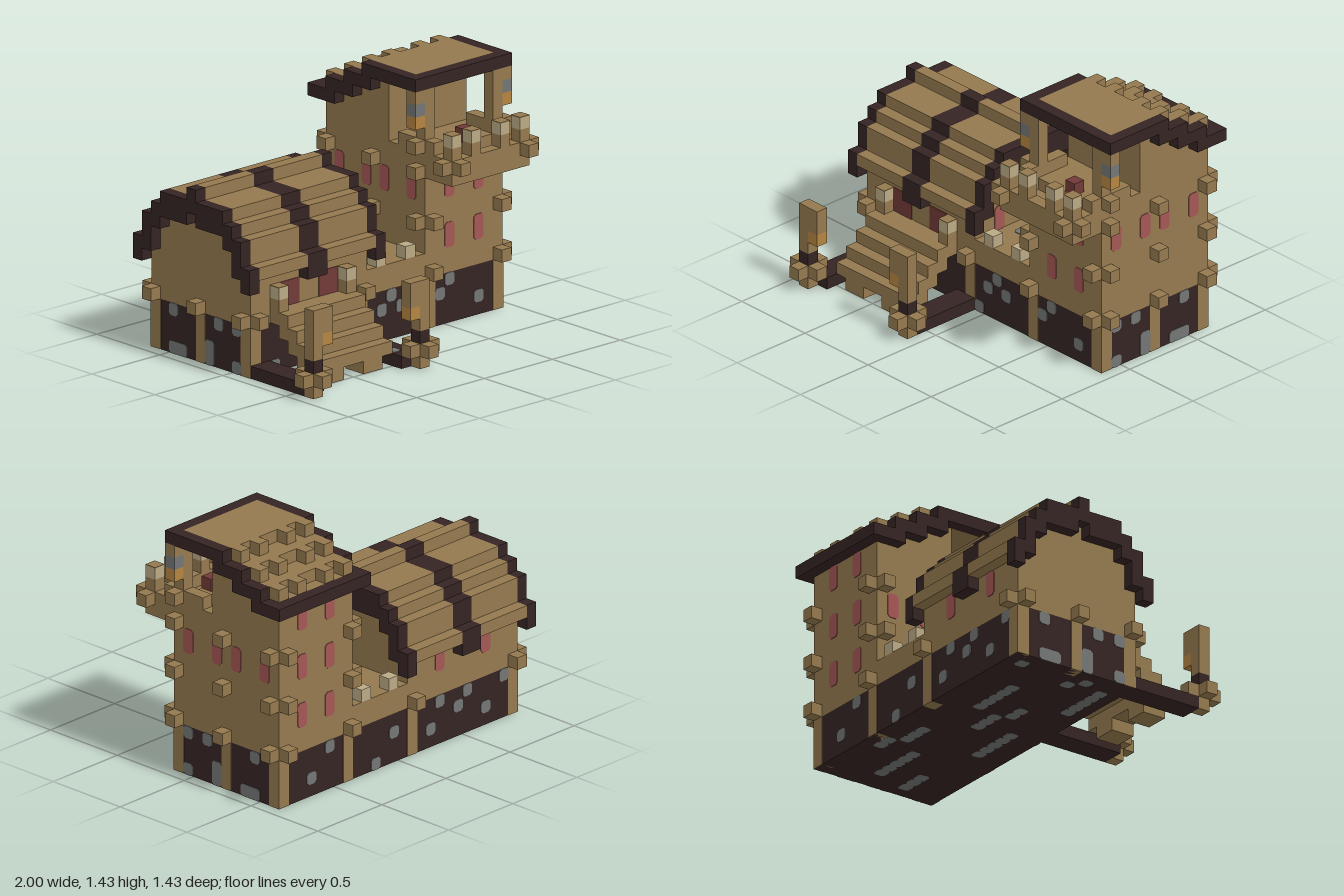
import * as THREE from 'three';

const U = 1 / 14; // one block
const mat = (name, color) => new THREE.MeshStandardMaterial({ name, color });

export function createModel() {
  const model = new THREE.Group();
  const tan = mat('timber tan', 0x94794e), dark = mat('dark wood', 0x362424);
  const light = mat('pale wood', 0xbaa984), grey = mat('stone grey', 0x747675);
  const pink = mat('window pink', 0xa45654), red = mat('deep red', 0x713a38);
  const orange = mat('lantern orange', 0xb48440);

  // Box given by its limits in blocks
  const box = (name, m, x0, x1, y0, y1, z0, z1) => {
    const g = new THREE.BoxGeometry((x1 - x0) * U, (y1 - y0) * U, (z1 - z0) * U);
    const mesh = new THREE.Mesh(g, m);
    mesh.position.set((x0 + x1) / 2 * U, (y0 + y1) / 2 * U, (z0 + z1) / 2 * U);
    mesh.name = name;
    model.add(mesh);
  };

  // Thin plate with cut corners; face is the outward axis, (a, b) its lower corner and d the wall plane
  const plate = (name, m, face, d, a, b, w = 1, h = 1) => {
    const c = 0.2, s = new THREE.Shape([
      [c, 0], [w - c, 0], [w, c], [w, h - c], [w - c, h], [c, h], [0, h - c], [0, c],
    ].map(([x, y]) => new THREE.Vector2((x - w / 2) * U, (y - h / 2) * U)));
    const g = new THREE.ExtrudeGeometry(s, { depth: 0.004, bevelEnabled: false });
    const mesh = new THREE.Mesh(g, m), p = a + w / 2, q = b + h / 2;
    const [rx, ry, x, y, z] = {
      front: [0, 0, p, q, d], back: [0, Math.PI, p, q, d],
      left: [0, Math.PI / 2, d, q, p], right: [0, -Math.PI / 2, d, q, p],
      up: [-Math.PI / 2, 0, p, d, q], down: [Math.PI / 2, 0, p, d, q],
    }[face];
    mesh.rotation.set(rx, ry, 0);
    mesh.position.set(x * U, y * U, z * U);
    mesh.name = name;
    model.add(mesh);
  };

  // Stone base, lower walls and timber posts
  box('stoneBase', dark, -13, 13, 0, 4, -9, 2);
  box('lowerWalls', tan, -13, 13, 4, 6, -9, 2);
  const e = 0.04;
  for (const x of [-13, -2, 5, 12]) for (const z of [-9, 1])
    box('basePost', tan, x - e, x + 1 + e, 0, 4, z - e, z + 1 + e);
  for (const x of [-13, 12]) box('basePost', tan, x - e, x + 1 + e, 0, 4, -4, -3);

  // Beam ends sticking out of the walls
  for (const x of [-13, -2, 5, 12]) {
    box('beamEnd', tan, x, x + 1, 4, 5, 2, 3);
    box('beamEnd', tan, x, x + 1, 4, 5, -10, -9);
  }
  for (const z of [-9, -4, 1]) {
    box('beamEnd', tan, -14, -13, 4, 5, z, z + 1);
    for (const y of [4, 8, 12]) {
      box('beamEnd', tan, 13, 14, y, y + 1, z, z + 1);
      if (y > 4) box('beamEnd', tan, 4, 5, y, y + 1, z, z + 1);
    }
  }
  for (const y of [8, 12]) for (const x of [5, 12]) {
    box('beamEnd', tan, x, x + 1, y, y + 1, 2, 3);
    box('beamEnd', tan, x, x + 1, y, y + 1, -10, -9);
  }

  // House walls and stepped roof: [half-width from, to, underside, top] about the ridge
  const ridge = -3.5;
  const steps = [[5.5, 6.5, 7, 9], [4.5, 5.5, 8, 11], [3.5, 4.5, 10, 12], [0.5, 3.5, 11, 13], [0, 0.5, 12, 14]];
  for (const side of [-1, 1]) for (const [a, b, lo, hi] of steps) {
    const z0 = ridge + Math.min(side * a, side * b), z1 = ridge + Math.max(side * a, side * b);
    for (const [x0, x1] of [[-14, -13], [-8, -6], [-1, 0]]) box('roofRib', dark, x0, x1, lo, hi, z0, z1);
    for (const [x0, x1] of [[-13, -8], [-6, -1]]) box('roofBoards', tan, x0, x1, Math.max(lo, 8), hi, z0, z1);
    if (b < 6) box('houseWall', tan, -13, -1, 6, lo, z0, z1);
  }
  for (const x of [-10, -6]) box('frontShutter', red, x, x + 2, 5, 7, 2, 2.06);
  for (const x of [-10, -5]) plate('houseWindow', pink, 'back', -9, x, 6, 1, 2);
  plate('houseWindow', pink, 'left', -1, -1, 6, 1, 2);

  // Terrace between house and tower
  for (const x of [0, 3]) for (const z of [-9, 1]) box('merlon', light, x, x + 1, 6, 7, z, z + 1);
  for (const z of [-5, -2]) plate('terraceStone', grey, 'up', 6, 0, z);

  // Tower
  box('towerWalls', tan, 5, 13, 6, 14, -9, 2);
  for (const [z0, z1, top] of [[-3, -2, 19], [-5, -3, 18], [-7, -5, 17], [-9, -7, 16]])
    box('towerRoom', tan, 5, 13, 14, top, z0, z1);
  for (const x of [7, 10]) {
    for (const y of [6, 10]) plate('towerWindow', pink, 'front', 2, x, y, 1, 2);
    for (const y of [6, 10, 14]) plate('towerWindow', pink, 'back', -9, x, y, 1, 2);
  }
  for (const z of [-8, -5, -3, 0]) {
    plate('towerWindow', pink, 'left', 13, z, 10, 1, 2);
    plate('towerWindow', pink, 'right', 5, z, 10, 1, 2);
  }
  plate('towerWindow', pink, 'right', 5, -7, 6, 1, 2);

  // Tower roof: stepped layers with dark edging and shingles
  [[-4, 2], [-6, -3], [-8, -5], [-10, -7]].forEach(([z0, z1], k) => {
    const y = 19 - k;
    for (const x of [4, 13]) box('roofEdge', dark, x, x + 1, y, y + 1, z0, z1);
    if (k === 0) box('roofEdge', dark, 5, 13, y, y + 1, 1, 2);
    if (k === 3) box('roofEdge', dark, 5, 13, y, y + 1, -10, -9);
    box('towerRoofBoards', tan, 5, 13, y, y + 1, k === 3 ? -9 : z0, k === 0 ? 1 : z1);
    if (k < 3) for (const x of [5, 7, 10, 12]) box('shingle', tan, x, x + 1, y, y + 1, z0 - 1, z0);
  });

  // Balcony, open porch posts and hanging lanterns
  box('balconyFloor', tan, 5, 13, 12, 13, 2, 5);
  box('balconyRail', tan, 5, 13, 13, 14, 4, 5);
  for (const [x, out] of [[5, 4], [12, 13]]) {
    box('balconyRail', tan, x, x + 1, 13, 14, 2, 4);
    box('railKnob', tan, out, out + 1, 13, 14, 4, 5);
    box('railKnob', tan, x, x + 1, 13, 14, 5, 6);
    box('porchPost', tan, x, x + 1, 14, 19, 1, 2);
    box('porchRail', tan, x, x + 1, 14, 15, -1, 3);
    box('porchKnob', tan, out, out + 1, 14, 15, 1, 2);
    box('lanternArm', tan, out, out + 1, 18, 19, 1, 2);
    box('lanternCap', grey, out, out + 1, 17, 18, 1, 2);
    box('lantern', orange, out, out + 1, 16, 17, 1, 2);
  }
  const candle = (x, y, z) => {
    box('candle', light, x, x + 1, y, y + 0.93, z, z + 1);
    box('candleTop', tan, x, x + 1, y + 0.93, y + 1, z, z + 1);
  };
  for (const x of [5, 7, 10, 12]) {
    box('railPost', tan, x, x + 1, 14, 15, 4, 5);
    candle(x, 15, 4);
  }
  box('cushion', red, 9, 10, 14, 15, 1, 2);

  // Floating front stairs
  for (const [y, z0, z1] of [[1, 5, 7], [2, 4, 6], [3, 3, 5], [4, 2, 4]])
    box('stairStep', tan, -11, -3, y, y + 1, z0, z1);
  for (const x of [-10, -6]) box('stairFoot', tan, x, x + 2, 0, 1, 5, 7);
  for (const x of [-11, -4]) {
    box('doorPost', tan, x, x + 1, 5, 6, 2, 3);
    candle(x, 6, 2);
  }

  // Ground beams with lamp posts
  for (const [x, s] of [[-13, 1], [-2, -1]]) {
    const bx = s > 0 ? -13 : -3, arm = x + s;
    box('groundBeam', dark, bx, bx + 2, 0, 1, 2, 8);
    box('lampPost', tan, x, x + 1, 0, 2, 8, 9);
    box('lampCollar', dark, x, x + 1, 2, 3, 8, 9);
    box('lampPost', tan, x, x + 1, 3, 7, 8, 9);
    box('lampFoot', tan, x - 1, x + 2, 1, 2, 8, 9);
    box('lampFoot', tan, x, x + 1, 1, 2, 7, 10);
    box('lampArm', tan, arm, arm + 1, 5, 7, 8, 9);
    box('lamp', orange, arm, arm + 1, 4, 5, 8, 9);
  }
  plate('beamStone', grey, 'up', 1, -3, 6);

  // Grey stones set in the base
  for (const [x, y] of [[1, 3], [0, 2], [2, 2], [7, 3], [6, 2], [10, 1], [-1, 0], [-11, 0]])
    plate('baseStone', grey, 'front', 2, x, y);
  for (const [x, y] of [[9, 1], [7, 3], [2, 0], [0, 2], [-4, 1], [-5, 3], [-7, 2], [-8, 3], [-10, 1], [-12, 3]])
    plate('baseStone', grey, 'back', -9, x, y);
  for (const [face, d] of [['left', 13], ['right', -13]])
    for (const [z, y, w, h] of [[0, 3, 1, 1], [-2, 3, 1, 1], [0, 0, 1, 1], [-3, 0, 1, 2], [-7, 3, 1, 1], [-7, 0, 2, 1]])
      plate('baseStone', grey, face, d, z, y, w, h);
  for (let i = 0; i < 36; i++)
    plate('undersideStone', grey, 'down', 0.05, -12 + (i * 7) % 24, -8 + (i * 5 + (i >> 3)) % 9);

  return model;
}
